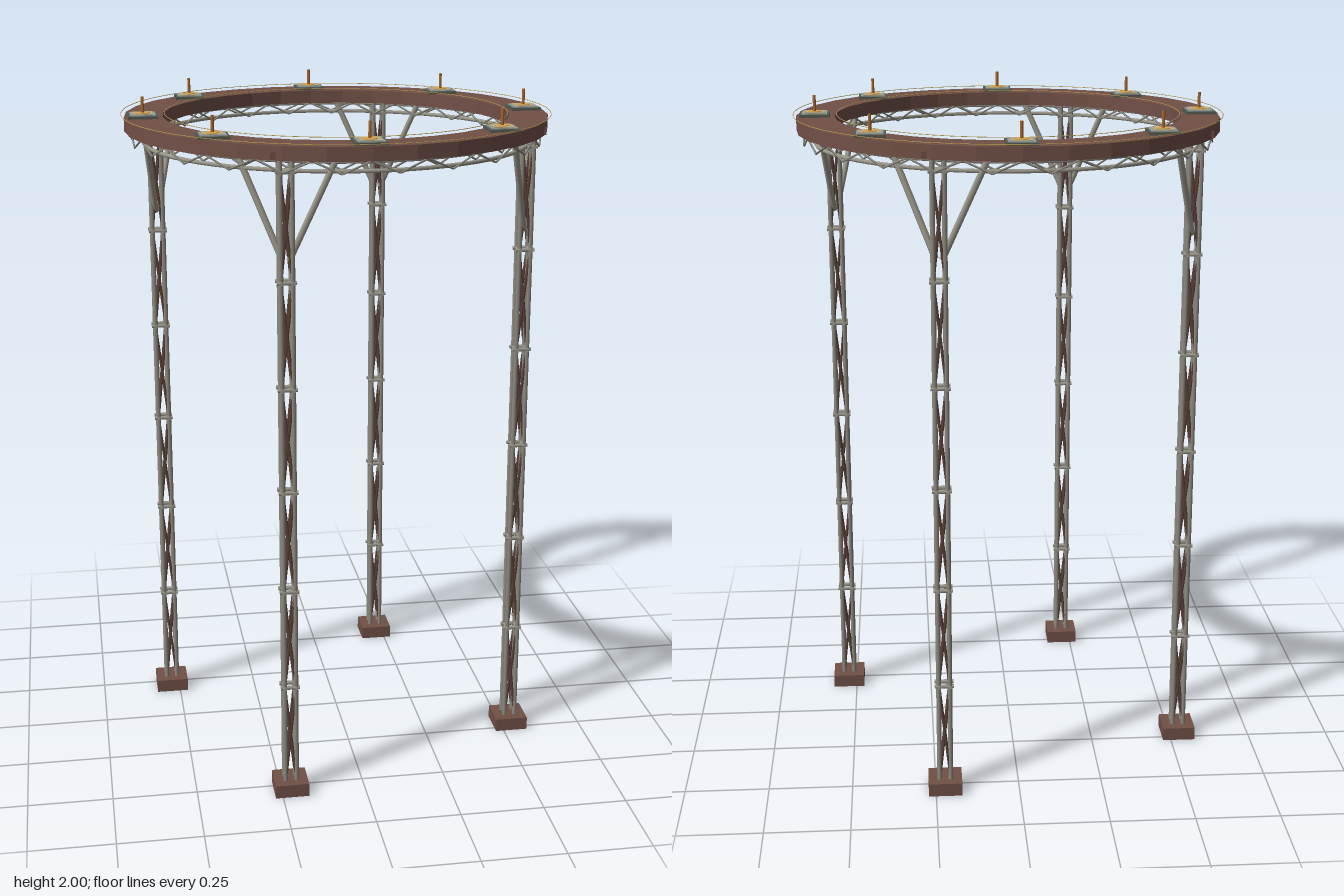
import * as THREE from 'three';

const mat = (name, color) => Object.assign(new THREE.MeshStandardMaterial({ color }), { name });
const M = {
  rust: mat('rust brown', 0x715047),
  steel: mat('weathered steel', 0x8e8b80),
  pale: mat('pale steel', 0x9c998c),
  brace: mat('dark brace', 0x5a4038),
  frame: mat('grey green frame', 0x565b51),
  plate: mat('grey plate', 0x949e9a),
  tan: mat('tan pad', 0xb8aa84),
  amber: mat('amber disc', 0xdca446),
  rod: mat('copper rod', 0xa9692f),
  wire: mat('gold wire', 0xc2a052),
};

const RADIUS = 0.57;
const UP = new THREE.Vector3(0, 1, 0);
const V = (x, y, z) => new THREE.Vector3(x, y, z);
const polar = (r, deg, y) => {
  const a = THREE.MathUtils.degToRad(deg);
  return V(r * Math.cos(a), y, r * Math.sin(a));
};

function add(parent, name, geometry, material, x = 0, y = 0, z = 0) {
  const mesh = new THREE.Mesh(geometry, material);
  mesh.name = name;
  mesh.position.set(x, y, z);
  parent.add(mesh);
  return mesh;
}

const box = (parent, name, w, h, d, material, y) =>
  add(parent, name, new THREE.BoxGeometry(w, h, d), material, 0, y, 0);

// Round bar between two points
function bar(parent, name, a, b, r, material, sides = 6) {
  const dir = b.clone().sub(a);
  const mid = a.clone().add(b).multiplyScalar(0.5);
  const mesh = add(parent, name, new THREE.CylinderGeometry(r, r, dir.length(), sides), material, mid.x, mid.y, mid.z);
  mesh.quaternion.setFromUnitVectors(UP, dir.normalize());
}

function hoop(parent, name, r, tube, y, material, segments) {
  const geometry = new THREE.TorusGeometry(r, tube, 6, segments).rotateX(Math.PI / 2);
  add(parent, name, geometry, material, 0, y, 0);
}

// Lattice column with footing, collars, cross braces and a cap let into the deck
function makeColumn() {
  const g = new THREE.Group();
  g.name = 'column';
  const s = 0.0165, base = 0.04, panel = 0.304, e = 0.028;
  box(g, 'footing', 0.1, base, 0.1, M.rust, base / 2);
  box(g, 'cap', 0.09, 0.02, 0.09, M.rust, 1.912);
  for (const x of [-s, s]) for (const z of [-s, s])
    bar(g, 'post', V(x, base, z), V(x, 1.905, z), 0.007, M.steel, 8);
  for (let i = 0; i < 6; i++) {
    const y0 = base + i * panel, y1 = y0 + panel;
    for (const k of [-s, s]) {
      bar(g, 'collar', V(-e, y1, k), V(e, y1, k), 0.006, M.pale);
      bar(g, 'collar', V(k, y1, -e), V(k, y1, e), 0.006, M.pale);
      bar(g, 'crossBrace', V(-s, y0, k), V(s, y1, k), 0.0045, M.brace);
      bar(g, 'crossBrace', V(s, y0, k), V(-s, y1, k), 0.0045, M.brace);
    }
  }
  return g;
}

// Deck pad with a short upright rod
function makePad() {
  const g = new THREE.Group();
  g.name = 'pad';
  box(g, 'padFrame', 0.088, 0.008, 0.088, M.frame, 0.004);
  box(g, 'padPlate', 0.074, 0.004, 0.074, M.plate, 0.009);
  box(g, 'padTop', 0.06, 0.003, 0.06, M.tan, 0.0115);
  add(g, 'disc', new THREE.CylinderGeometry(0.02, 0.02, 0.002, 16), M.amber, 0, 0.0135, 0);
  add(g, 'rod', new THREE.CylinderGeometry(0.0045, 0.0045, 0.06, 8), M.rod, 0, 0.03, 0);
  return g;
}

export function createModel() {
  const model = new THREE.Group();
  model.name = 'ringTower';

  // Flat deck ring
  const profile = [[0.512, 1.9], [0.625, 1.9], [0.625, 1.94], [0.512, 1.94], [0.512, 1.9]];
  const deck = new THREE.LatheGeometry(profile.map(([x, y]) => new THREE.Vector2(x, y)), 32).toNonIndexed();
  deck.computeVertexNormals();
  add(model, 'deckRing', deck, M.rust);

  // Thin edge wires around the deck
  hoop(model, 'outerWire', 0.633, 0.001, 1.947, M.wire, 96);
  hoop(model, 'innerWire', 0.506, 0.001, 1.947, M.wire, 96);

  // Truss below the deck: chord hoops and zigzag web
  const truss = new THREE.Group();
  truss.name = 'truss';
  model.add(truss);
  for (const y of [1.866, 1.892]) hoop(truss, 'chord', RADIUS, 0.006, y, M.pale, 64);
  const n = 48;
  for (const r of [0.535, 0.605]) for (let i = 0; i < n; i++) {
    const y = i % 2 ? [1.864, 1.898] : [1.898, 1.864];
    bar(truss, 'webBar', polar(r, i * 360 / n, y[0]), polar(r, (i + 1) * 360 / n, y[1]), 0.003, M.steel, 5);
  }

  // Four columns with splayed knee braces
  for (let i = 0; i < 4; i++) {
    const deg = 22.9 + i * 90;
    const column = makeColumn();
    column.position.copy(polar(RADIUS, deg, 0));
    model.add(column);
    for (const side of [-1, 1])
      bar(model, 'kneeBrace', polar(RADIUS, deg + side * 1, 1.62), polar(RADIUS, deg + side * 13.5, 1.89), 0.009, M.pale, 8);
  }

  // Eight deck pads
  for (let i = 0; i < 8; i++) {
    const pad = makePad();
    pad.position.copy(polar(RADIUS, i * 45, 1.94));
    model.add(pad);
  }
  return model;
}
